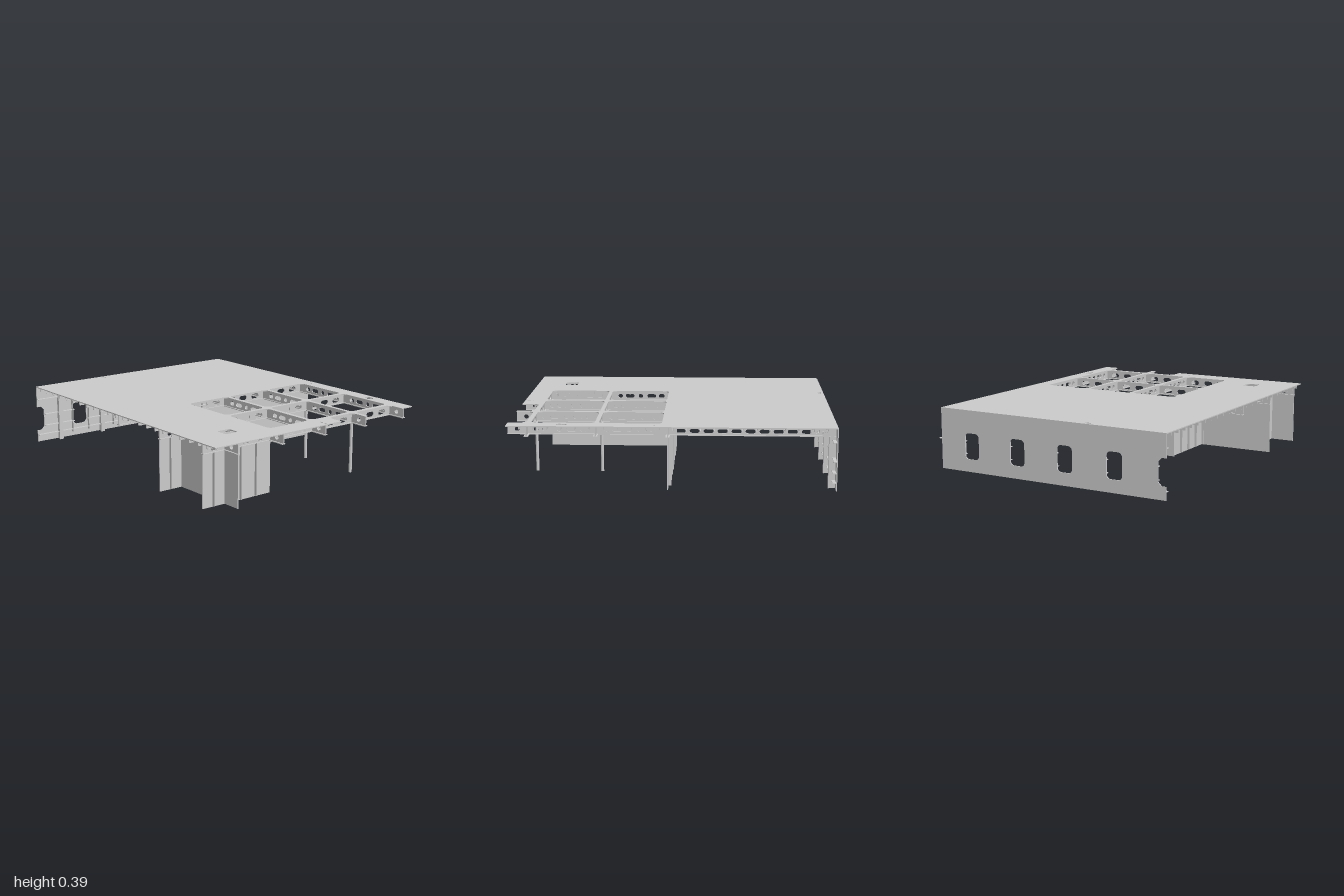
import * as THREE from 'three';

const mat = new THREE.MeshStandardMaterial({ color: 0xcccccc, flatShading: true, side: THREE.DoubleSide });
const X0 = -0.815, X1 = 0.785, TOP = 0.39, SOFFIT = 0.328, T = 0.006;
const GIRDER_X = [-0.652, -0.309, 0.028, 0.368, 0.708];
const FRAME_Z = [0.022, 0.458, 0.876];

// Closed rounded rectangle, used for openings
function roundRect(x0, x1, y0, y1, r) {
  const p = new THREE.Path();
  p.absarc(x1 - r, y1 - r, r, 0, Math.PI / 2);
  p.absarc(x0 + r, y1 - r, r, Math.PI / 2, Math.PI);
  p.absarc(x0 + r, y0 + r, r, Math.PI, Math.PI * 1.5);
  p.absarc(x1 - r, y0 + r, r, Math.PI * 1.5, Math.PI * 2);
  p.closePath();
  return p;
}

// Thin plate cut from an outline with openings, centred on its thickness
function plate(points, holes, t = T) {
  const shape = new THREE.Shape(points.map(([x, y]) => new THREE.Vector2(x, y)));
  shape.holes = holes;
  return new THREE.ExtrudeGeometry(shape, { depth: t, bevelEnabled: false, curveSegments: 5 })
    .translate(0, 0, -t / 2);
}

const rect = (u0, u1, v0, v1) => [[u0, v0], [u1, v0], [u1, v1], [u0, v1]];

export function createModel() {
  const root = new THREE.Group();
  const add = (name, geo, parent = root) => {
    const m = new THREE.Mesh(geo, mat);
    m.name = name;
    parent.add(m);
    return m;
  };
  const group = (name) => {
    const g = new THREE.Group();
    g.name = name;
    root.add(g);
    return g;
  };
  // Box given by its limits
  const box = (name, x0, x1, y0, y1, z0, z1, parent) => add(name,
    new THREE.BoxGeometry(x1 - x0, y1 - y0, z1 - z0)
      .translate((x0 + x1) / 2, (y0 + y1) / 2, (z0 + z1) / 2), parent);

  // Deck with large openings, front notches and small cut-outs
  const outline = [[X0, -1], [X1, -1], [X1, 1], [0.69, 1], [0.69, 0.915], [0.665, 0.89], [0.405, 0.89],
    [0.38, 0.915], [0.38, 1], [0.355, 1], [0.355, 0.915], [0.33, 0.89], [0.18, 0.89], [0.155, 0.915],
    [0.155, 1], [X0, 1]];
  const cuts = [];
  for (const [x0, x1] of [[-0.295, 0.015], [0.04, 0.355], [0.38, 0.69]])
    for (const [z0, z1] of [[0.06, 0.445], [0.47, 0.86]]) cuts.push(roundRect(x0, x1, z0, z1, 0.03));
  cuts.push(
    roundRect(-0.585, -0.495, 0.72, 0.805, 0.015),
    roundRect(-0.3, -0.262, -0.985, -0.962, 0.01),
    roundRect(0.718, 0.752, 0.635, 0.698, 0.014),
    roundRect(0.728, 0.742, 0.098, 0.112, 0.006),
    roundRect(0.038, 0.05, 0.93, 0.952, 0.005),
    roundRect(0.038, 0.05, 0.966, 0.988, 0.005));
  add('deck', plate(outline, cuts).rotateX(Math.PI / 2).translate(0, TOP - T / 2, 0));

  // Closely spaced stiffeners across the underside of the deck
  const stiffeners = group('deckStiffeners');
  for (let i = 0; i < 23; i++) {
    const z = -0.94 + i * 0.0845;
    const xEnd = z < 0.03 ? X1 : z > 0.88 ? 0.155 : -0.3;
    box('stiffener', X0, xEnd, 0.367, TOP - T, z - 0.002, z + 0.002, stiffeners);
    box('stiffenerBulb', X0, xEnd, 0.365, 0.369, z - 0.002, z + 0.006, stiffeners);
    if (z > 0.03) box('sideStiffener', 0.708, X1, 0.367, TOP - T, z - 0.002, z + 0.002, stiffeners);
  }

  // Longitudinal girders with slots and a bottom flange
  const girders = group('longitudinalGirders');
  for (const x of GIRDER_X) {
    const slots = [];
    for (let z = -0.9; z < -0.03; z += 0.0845) slots.push(roundRect(z - 0.03, z + 0.03, 0.338, 0.362, 0.0115));
    for (const f of [0.03, 0.458])
      for (const [d, w] of [[0.08, 0.02], [0.15, 0.03], [0.225, 0.015], [0.3, 0.03], [0.365, 0.015]])
        slots.push(roundRect(f + d - w, f + d + w, 0.341, 0.367, 0.0125));
    slots.push(roundRect(0.925, 0.955, 0.341, 0.367, 0.0125));
    add('girderWeb', plate(rect(-0.997, 1, SOFFIT, TOP - T), slots)
      .rotateY(-Math.PI / 2).translate(x, 0, 0), girders);
    box('girderFlange', x - 0.013, x + 0.013, SOFFIT - 0.005, SOFFIT, -0.997, 1, girders);
  }

  // Transverse girders with the same slotted web
  const frames = group('transverseGirders');
  for (const z of FRAME_Z) {
    const slots = [];
    for (const x of [-0.99, ...GIRDER_X])
      for (const [d, w] of [[0.075, 0.02], [0.16, 0.032], [0.265, 0.03]])
        if (x + d - w > X0 + 0.01 && x + d + w < X1 - 0.01)
          slots.push(roundRect(x + d - w, x + d + w, 0.335, 0.367, 0.0155));
    add('frameWeb', plate(rect(X0, X1, SOFFIT, TOP - T), slots).translate(0, 0, z), frames);
    box('frameFlange', X0, X1, SOFFIT - 0.005, SOFFIT, z - 0.013, z + 0.013, frames);
  }

  // Back bulkhead with windows and a half window at its edge
  const back = group('backBulkhead');
  const windowX = [0.55, 0.208, -0.133, -0.474];
  const backOutline = [[X0, 0], [X1, 0], [X1, TOP], [X0, TOP], [X0, 0.245], [-0.785, 0.245],
    [-0.762, 0.222], [-0.762, 0.103], [-0.785, 0.08], [X0, 0.08]];
  add('backPlate', plate(backOutline, windowX.map((x) => roundRect(x - 0.053, x + 0.053, 0.08, 0.245, 0.028)))
    .translate(0, 0, -0.997), back);
  for (const x of GIRDER_X) {
    box('webFrame', x - 0.003, x + 0.003, 0, SOFFIT, -0.994, -0.956, back);
    box('webFrameFlange', x - 0.015, x + 0.015, 0, SOFFIT, -0.956, -0.951, back);
  }
  for (const x of windowX)
    for (const s of [-1, 1])
      box('windowStiffener', x + s * 0.066 - 0.002, x + s * 0.066 + 0.002, 0.03, 0.3, -0.994, -0.975, back);
  // Horizontal stiffeners, interrupted at the windows where they cross them
  for (const y of [0.05, 0.3]) box('horizontalStiffener', X0, X1, y - 0.002, y + 0.002, -0.994, -0.972, back);
  for (const y of [0.11, 0.19]) {
    const ends = [-0.76, ...windowX.slice().reverse().flatMap((x) => [x - 0.055, x + 0.055]), y > 0.15 ? 0.815 : X1];
    for (let i = 0; i < ends.length; i += 2)
      box('horizontalStiffener', ends[i], ends[i + 1], y - 0.002, y + 0.002, -0.994, -0.972, back);
  }

  // Inner bulkheads below the girders
  const walls = group('innerBulkheads');
  const [zA, zB, zC] = FRAME_Z;
  const wallX = GIRDER_X[1], outerX = GIRDER_X[0], h = 0.003;
  box('middleTransverseWall', wallX - 0.015, X1, 0, SOFFIT, zA - h, zA + h, walls);
  box('longWall', wallX - h, wallX + h, 0, SOFFIT, zA, zC, walls);
  box('outerLongWall', outerX - h, outerX + h, 0, SOFFIT, zB, 1, walls);
  box('rearRoomWall', X0, wallX, 0, SOFFIT, zB - h, zB + h, walls);
  box('frontRoomWall', X0, wallX, 0, SOFFIT, zC - h, zC + h, walls);

  // Vertical stiffeners on the inner bulkheads
  for (let i = 0; i < 9; i++) {
    const x = 0.7 - i * 0.121;
    box('wallStiffener', x - 0.002, x + 0.002, 0.005, SOFFIT, zA - 0.02, zA, walls);
  }
  for (let i = 1; i < 8; i++) {
    const z = zA + i * 0.107;
    box('wallStiffener', wallX - 0.02, wallX, 0.005, SOFFIT, z - 0.002, z + 0.002, walls);
    if (z > zB) box('wallStiffener', outerX, outerX + 0.02, 0.005, SOFFIT, z - 0.002, z + 0.002, walls);
  }
  for (const x of [-0.74, -0.54, -0.425])
    for (const z of [zB, zC])
      box('wallStiffener', x - 0.002, x + 0.002, 0.005, SOFFIT, z, z + 0.02, walls);

  // Round pillars under the girder crossings
  for (const z of [zB, zC])
    add('pillar', new THREE.CylinderGeometry(0.01, 0.01, SOFFIT, 16).translate(GIRDER_X[3], SOFFIT / 2, z));

  return root;
}
